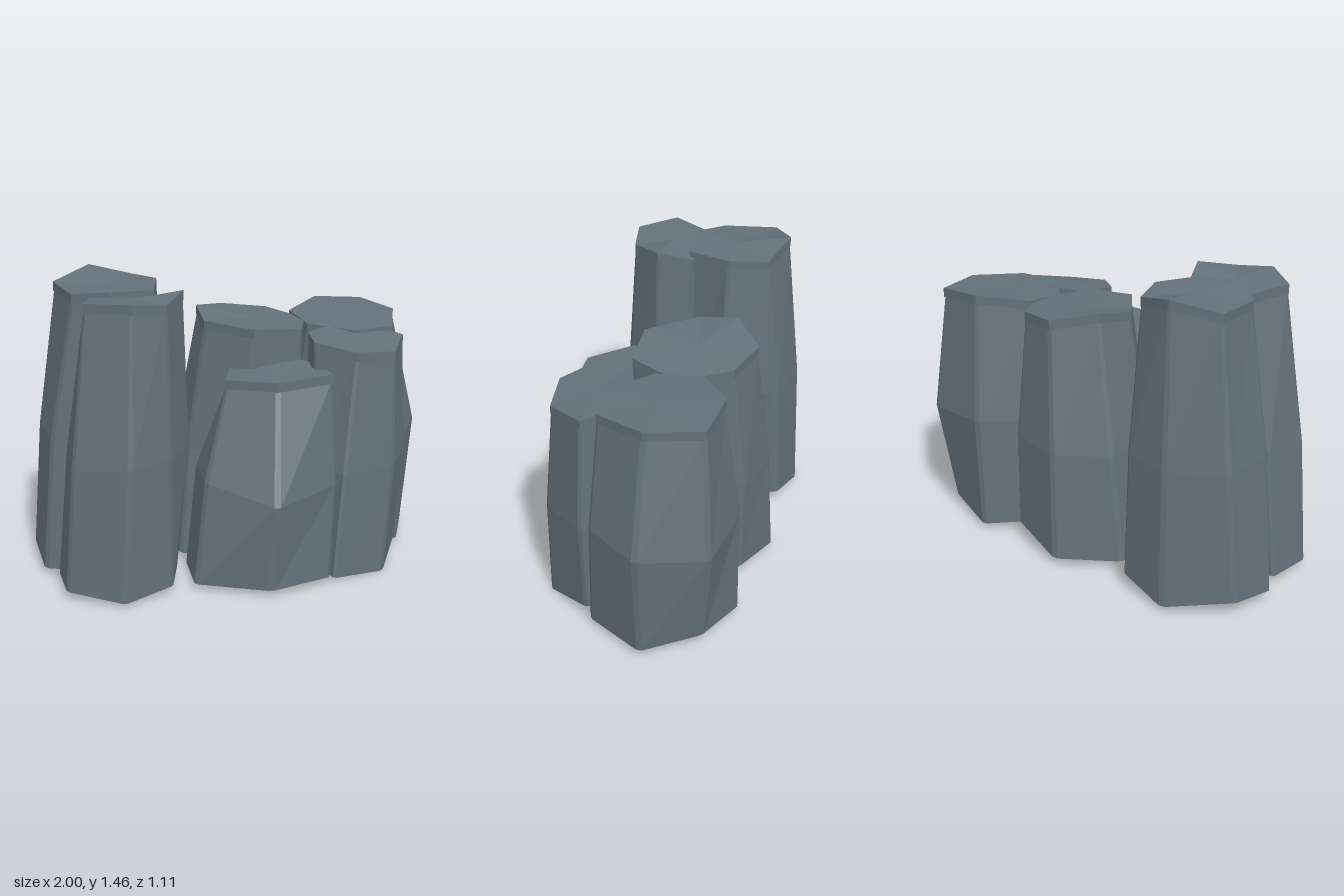
import * as THREE from 'three';

const stone = new THREE.MeshStandardMaterial({ color: 0x64717a, side: THREE.DoubleSide });
stone.name = 'slateStone';

const lerp = (a, b, t) => a.map((v, i) => v + (b[i] - v) * t);

function centre(ring) {
  return ring.reduce((s, p) => s.map((v, i) => v + p[i] / ring.length), [0, 0, 0]);
}

// Replace each corner by two points for a narrow worn edge
function chamfer(ring, t) {
  const n = ring.length;
  return ring.flatMap((p, i) =>
    [lerp(p, ring[(i + n - 1) % n], t), lerp(p, ring[(i + 1) % n], t)]);
}

// Faceted skin through rings, which run clockwise seen from above; open below
function skin(name, rings, capped) {
  const pos = [];
  for (let r = 0; r + 1 < rings.length; r++) {
    const lo = rings[r], hi = rings[r + 1];
    lo.forEach((p, i) => {
      const j = (i + 1) % lo.length;
      pos.push(...lo[j], ...p, ...hi[i], ...lo[j], ...hi[i], ...hi[j]);
    });
  }
  if (capped) {
    const top = rings[rings.length - 1], c = centre(top);
    top.forEach((p, i) => pos.push(...c, ...top[(i + 1) % top.length], ...p));
  }
  const geo = new THREE.BufferGeometry();
  geo.setAttribute('position', new THREE.Float32BufferAttribute(pos, 3));
  geo.computeVertexNormals();
  const mesh = new THREE.Mesh(geo, stone);
  mesh.name = name;
  return mesh;
}

// One column from its base, waist and top outlines
function column(name, base, waist, top) {
  const group = new THREE.Group();
  group.name = name;
  const neck = top.map(([x, y, z]) => [x, y - 0.045, z]);
  group.add(skin('columnShaft', [base, waist, neck].map(r => chamfer(r, 0.05)), false));
  group.add(skin('columnCap', [neck, top], true));
  return group;
}

export function createModel() {
  const model = new THREE.Group();
  model.name = 'stoneColumns';

  model.add(column('backRightColumn',
    [[-1, .08, -.34], [-.71, .02, -.52], [-.44, .08, -.48], [-.37, .06, -.2], [-.45, .03, 0], [-.68, .02, .06], [-.995, .03, -.07]],
    [[-.95, .7, -.35], [-.7, .69, -.5], [-.45, .69, -.46], [-.295, .69, -.2], [-.43, .69, .02], [-.67, .69, .07], [-.94, .69, -.06]],
    [[-.86, 1.41, -.31], [-.66, 1.46, -.435], [-.45, 1.41, -.38], [-.375, 1.42, -.2], [-.44, 1.41, .02], [-.66, 1.42, .06], [-.82, 1.4, -.05]]));

  model.add(column('frontRightColumn',
    [[-.94, .04, .02], [-.72, .05, -.02], [-.45, .09, -.02], [-.38, .06, .15], [-.45, .04, .34], [-.7, .015, .425], [-.945, .04, .26]],
    [[-.88, .67, .02], [-.68, .68, -.03], [-.42, .68, -.02], [-.31, .68, .15], [-.45, .68, .35], [-.66, .67, .425], [-.9, .64, .26]],
    [[-.74, 1.39, .01], [-.62, 1.38, -.02], [-.41, 1.38, -.01], [-.33, 1.43, .15], [-.45, 1.4, .31], [-.62, 1.42, .35], [-.815, 1.41, .21]]));

  model.add(column('backMiddleColumn',
    [[-.32, .04, -.36], [-.06, .04, -.56], [.27, .1, -.48], [.35, .05, -.2], [.26, .04, .05], [-.02, .03, .08], [-.31, .03, -.06]],
    [[-.26, .57, -.36], [-.03, .57, -.535], [.26, .57, -.485], [.39, .57, -.2], [.28, .57, .06], [0, .57, .1], [-.26, .57, -.1]],
    [[-.145, 1.245, -.32], [.03, 1.21, -.475], [.25, 1.19, -.42], [.39, 1.17, -.2], [.28, 1.18, .06], [.03, 1.2, .09], [-.16, 1.21, -.12]]));

  model.add(column('frontMiddleColumn',
    [[-.31, .03, .05], [-.02, .04, 0], [.25, .04, 0], [.33, .05, .15], [.305, .04, .46], [-.01, .03, .515], [-.34, .03, .33]],
    [[-.25, .53, .03], [0, .5, -.02], [.26, .5, 0], [.35, .5, .15], [.345, .5, .42], [0, .46, .56], [-.275, .53, .3]],
    [[-.07, 1, .02], [.05, 1.02, 0], [.25, 1.03, .03], [.34, 1.02, .14], [.345, 1.02, .34], [.06, 1.01, .375], [-.15, 1, .21]]));

  model.add(column('backLeftColumn',
    [[.26, .04, -.32], [.47, .03, -.54], [.78, .07, -.45], [.95, .04, -.2], [.8, .04, .1], [.55, .04, .1], [.31, .04, -.05]],
    [[.29, .59, -.34], [.49, .59, -.54], [.85, .56, -.505], [1.005, .59, -.2], [.82, .58, .085], [.57, .58, .11], [.3, .59, -.07]],
    [[.34, 1.19, -.3], [.54, 1.215, -.47], [.79, 1.195, -.46], [.87, 1.185, -.2], [.76, 1.16, .055], [.55, 1.16, .09], [.36, 1.17, -.08]]));

  model.add(column('frontLeftColumn',
    [[.3, .04, .05], [.48, .06, -.02], [.7, .08, 0], [.775, .08, .13], [.61, 0, .38], [.33, .02, .44], [.29, .04, .27]],
    [[.3, .54, .03], [.48, .54, -.04], [.72, .54, -.01], [.815, .55, .13], [.66, .54, .36], [.385, .53, .41], [.285, .54, .24]],
    [[.32, 1.16, .05], [.48, 1.17, -.03], [.7, 1.15, 0], [.79, 1.13, .12], [.67, 1.1, .31], [.46, 1.12, .35], [.29, 1.15, .22]]));

  return model;
}
